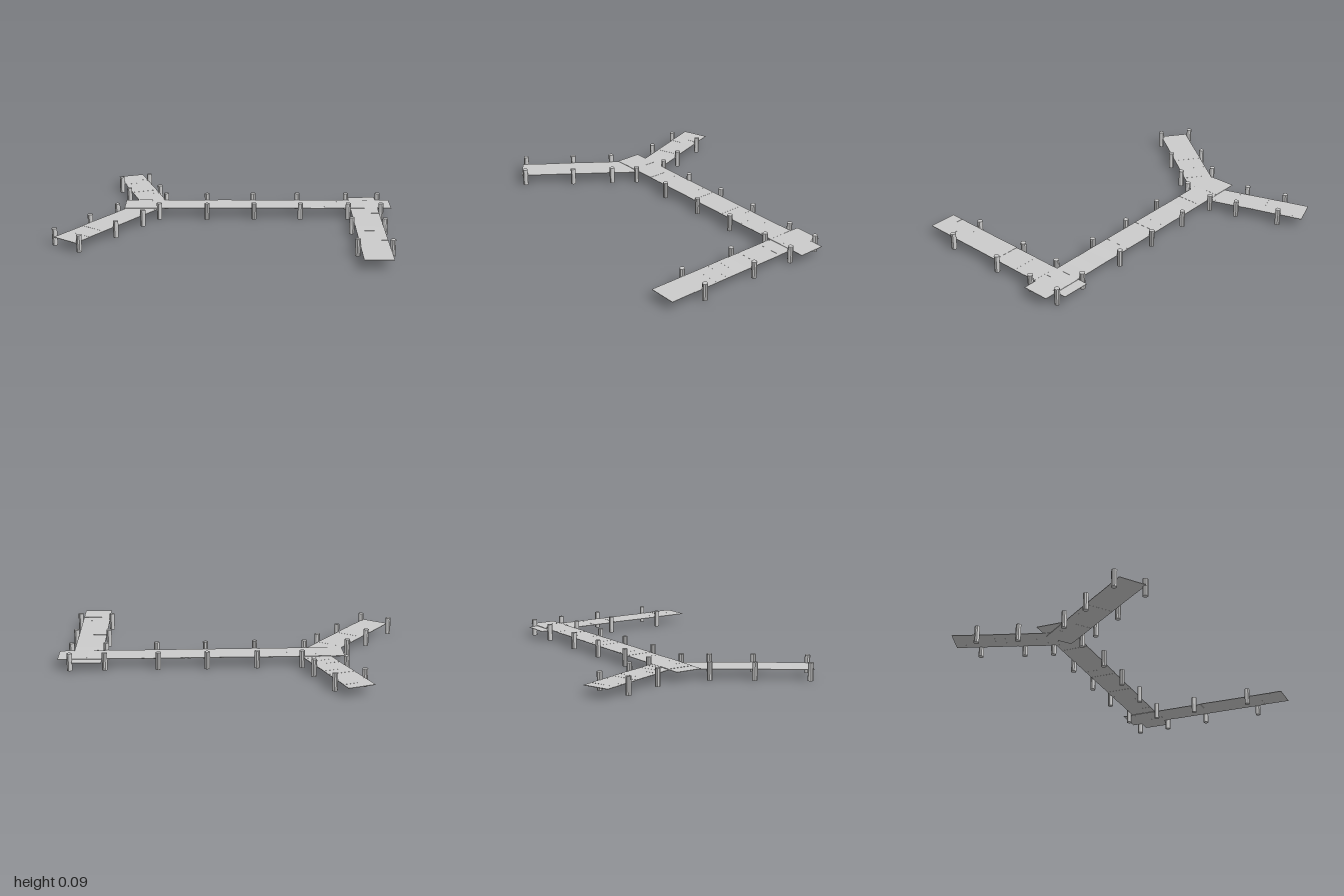
import * as THREE from 'three';

const material = new THREE.MeshStandardMaterial({ color: 0xcccccc, flatShading: true });
const DECK_Y = 0.052, THICKNESS = 0.003;
const POST_HEIGHT = 0.091, POST_RADIUS = 0.014;

// Seeded noise in -1..1 for the uneven planks
function seeded(seed) {
  let s = seed;
  return () => {
    s = (s * 16807) % 2147483647;
    return (s / 2147483647) * 2 - 1;
  };
}

// A straight walkway of planks between two [x, z] points
function walkway(name, from, to, width, count, lift, seed) {
  const group = new THREE.Group();
  group.name = name;
  const dx = to[0] - from[0], dz = to[1] - from[1];
  const step = Math.hypot(dx, dz) / count;
  const random = seeded(seed);
  group.position.set(from[0], DECK_Y + lift, from[1]);
  group.rotation.y = -Math.atan2(dz, dx);
  const geometry = new THREE.BoxGeometry(step, THICKNESS, width);
  for (let i = 0; i < count; i++) {
    const plank = new THREE.Mesh(geometry, material);
    plank.name = 'plank';
    plank.position.set((i + 0.5) * step, random() * 0.0006, 0);
    plank.rotation.x = random() * 0.008;
    group.add(plank);
  }
  return group;
}

export function createModel() {
  const model = new THREE.Group();
  model.name = 'boardwalk';

  // Four decks; the long one lies over the ends of the others
  model.add(
    walkway('rightWalkway', [-0.77, -0.51], [-0.03, -0.51], 0.15, 7, -0.001, 11),
    walkway('backWalkway', [0.267, -0.96], [-0.04, -0.52], 0.143, 10, 0, 23),
    walkway('mainWalkway', [-0.16, -0.63], [0.705, 0.56], 0.144, 20, 0.002, 37),
    walkway('frontWalkway', [0.72, 0.365], [-0.07, 0.932], 0.15, 14, 0, 53),
  );

  // Round posts along both edges, as [x, z]
  const posts = {
    rightPosts: [[-0.75, -0.6], [-0.48, -0.6], [-0.26, -0.6], [-0.75, -0.43], [-0.48, -0.42], [-0.26, -0.42], [-0.12, -0.42]],
    backPosts: [[0.12, -0.9], [0.26, -0.81], [-0.01, -0.73], [0.13, -0.62], [0.04, -0.5]],
    mainPosts: [[0.17, -0.31], [0.03, -0.205], [0.325, -0.105], [0.187, 0], [0.473, 0.095], [0.336, 0.207], [0.632, 0.317], [0.49, 0.42]],
    frontPosts: [[0.738, 0.46], [0.595, 0.566], [0.3, 0.556], [0.394, 0.704], [0.04, 0.746], [0.135, 0.894]],
  };
  const postGeometry = new THREE.CylinderGeometry(POST_RADIUS, POST_RADIUS, POST_HEIGHT, 10);
  for (const [name, spots] of Object.entries(posts)) {
    const group = new THREE.Group();
    group.name = name;
    for (const [x, z] of spots) {
      const post = new THREE.Mesh(postGeometry, material);
      post.name = 'post';
      post.position.set(x, POST_HEIGHT / 2, z);
      group.add(post);
    }
    model.add(group);
  }
  return model;
}
